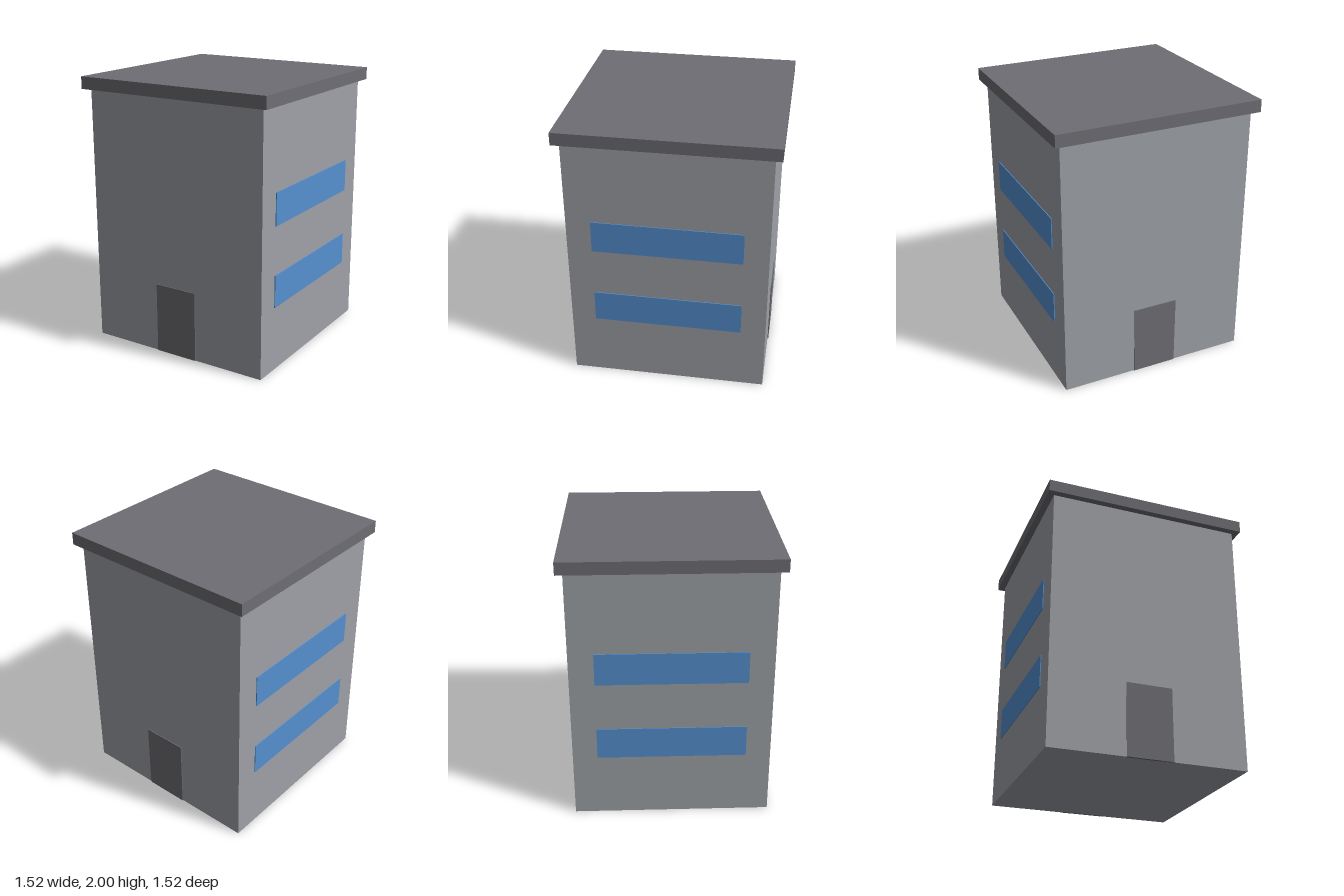
import * as THREE from 'three';

const paint = (color) => new THREE.MeshStandardMaterial({ color, flatShading: true });

export function createModel() {
  const model = new THREE.Group();
  const wall = paint(0x9fa2a7);
  const dark = paint(0x6e6e74);
  const glass = paint(0x5590d0);

  // Box standing on the height y
  function addBox(name, material, [w, h, d], x, y, z) {
    const mesh = new THREE.Mesh(new THREE.BoxGeometry(w, h, d), material);
    mesh.name = name;
    mesh.position.set(x, y + h / 2, z);
    model.add(mesh);
  }

  const half = 0.714; // half width of the walls
  const proud = 0.006; // how far doors and windows stand out
  const thick = 0.02;
  const offset = half + proud - thick / 2;

  // Main block and overhanging flat roof
  addBox('walls', wall, [half * 2, 1.91, half * 2], 0, 0, 0);
  addBox('roof', dark, [1.524, 0.09, 1.524], 0, 1.91, 0);

  // Doors at front and back
  addBox('frontDoor', dark, [0.334, 0.526, thick], 0, 0, offset);
  addBox('backDoor', dark, [0.334, 0.526, thick], 0, 0, -offset);

  // Two window strips on each side
  for (const [side, sign] of [['left', 1], ['right', -1]]) {
    addBox(side + 'LowerWindow', glass, [thick, 0.238, 1.072], sign * offset, 0.478, 0);
    addBox(side + 'UpperWindow', glass, [thick, 0.238, 1.072], sign * offset, 1.074, 0);
  }

  return model;
}
